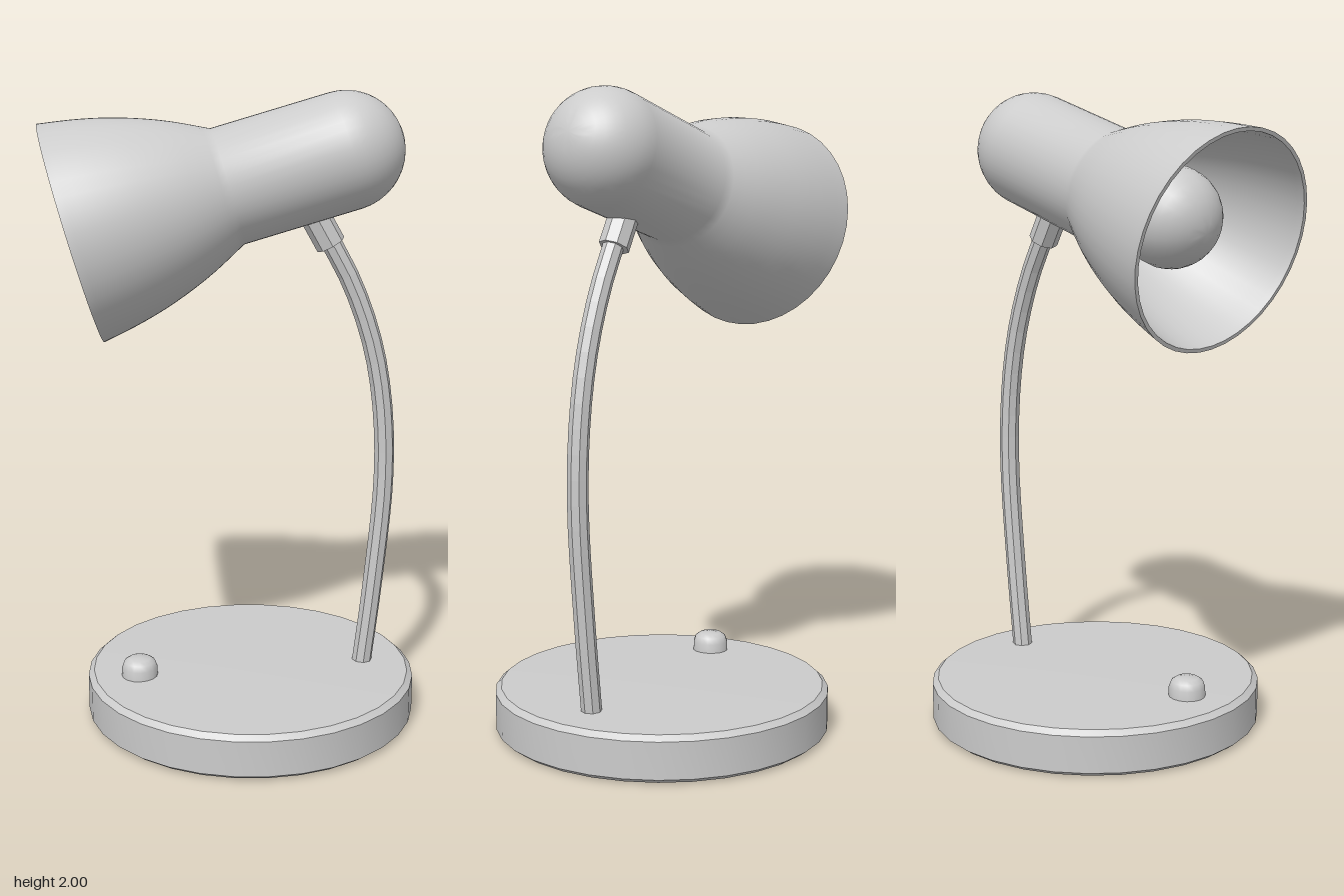
import * as THREE from 'three';
import { toCreasedNormals } from 'three/addons/utils/BufferGeometryUtils.js';

const smooth = new THREE.MeshStandardMaterial({ color: 0xcccccc });
const faceted = new THREE.MeshStandardMaterial({ color: 0xcccccc, flatShading: true });

const vec2 = (pairs) => pairs.map(([r, y]) => new THREE.Vector2(r, y));

// Turned part with sharp edges kept where the profile bends strongly
function turned(name, profile, segments, crease = 0.6) {
  const geometry = toCreasedNormals(new THREE.LatheGeometry(profile, segments), crease);
  const mesh = new THREE.Mesh(geometry, smooth);
  mesh.name = name;
  return mesh;
}

export function createModel() {
  const lamp = new THREE.Group();
  lamp.name = 'deskLamp';

  // Round base with bevelled edges and a slightly raised centre
  const base = turned('base', vec2([
    [0, 0], [0.51, 0], [0.53, 0.015], [0.53, 0.13], [0.512, 0.146], [0, 0.156],
  ]), 32);
  base.position.x = 0.055;
  lamp.add(base);

  // Domed switch button
  const button = turned('switchButton', vec2([
    [0.058, 0.14], [0.057, 0.178], [0.05, 0.197], [0.035, 0.207], [0, 0.209],
  ]), 16, 0.9);
  button.position.set(-0.31, 0, 0.055);
  lamp.add(button);

  // Curved stem
  const stemPath = new THREE.CatmullRomCurve3([
    [0.423, 0.13], [0.455, 0.42], [0.483, 0.78], [0.473, 1.02],
    [0.437, 1.22], [0.37, 1.41], [0.285, 1.57],
  ].map(([x, y]) => new THREE.Vector3(x, y, 0)));
  const stem = new THREE.Mesh(new THREE.TubeGeometry(stemPath, 20, 0.032, 8), faceted);
  stem.name = 'stem';
  lamp.add(stem);

  // Collar joining the stem to the head
  const from = new THREE.Vector3(0.3, 1.535, 0);
  const to = new THREE.Vector3(0.23, 1.66, 0);
  const collar = new THREE.Mesh(new THREE.CylinderGeometry(0.047, 0.047, from.distanceTo(to), 8), faceted);
  collar.name = 'collar';
  collar.position.copy(from).lerp(to, 0.5);
  collar.quaternion.setFromUnitVectors(new THREE.Vector3(0, 1, 0), to.clone().sub(from).normalize());
  lamp.add(collar);

  // Head: local y runs from the shade opening to the domed end
  const head = new THREE.Group();
  head.name = 'head';
  head.position.set(-0.495, 1.58, 0);
  head.rotation.z = -1.29;
  lamp.add(head);

  // Shade and housing in one turned shell, inside wall first
  const flare = new THREE.SplineCurve(vec2([
    [0.343, 0], [0.322, 0.12], [0.291, 0.24], [0.243, 0.37], [0.182, 0.494],
  ])).getPoints(14);
  const inside = flare.map((p) => new THREE.Vector2(p.x - 0.012, p.y)).reverse();
  const dome = [];
  for (let i = 0; i <= 10; i++) {
    const a = (i / 10) * Math.PI / 2;
    dome.push(new THREE.Vector2(i === 10 ? 0 : 0.182 * Math.cos(a), 0.869 + 0.182 * Math.sin(a)));
  }
  const shade = turned('shade', [new THREE.Vector2(0, 0.494), ...inside, ...flare, ...dome], 40);
  head.add(shade);

  // Bulb with its neck
  const bulbProfile = [];
  for (let i = 0; i <= 12; i++) {
    const a = -Math.PI / 2 + (i / 12) * Math.PI * 0.8;
    bulbProfile.push(new THREE.Vector2(i === 0 ? 0 : 0.155 * Math.cos(a), 0.225 + 0.155 * Math.sin(a)));
  }
  bulbProfile.push(new THREE.Vector2(0.075, 0.4), new THREE.Vector2(0.075, 0.5));
  head.add(turned('bulb', bulbProfile, 24, 1));

  return lamp;
}
